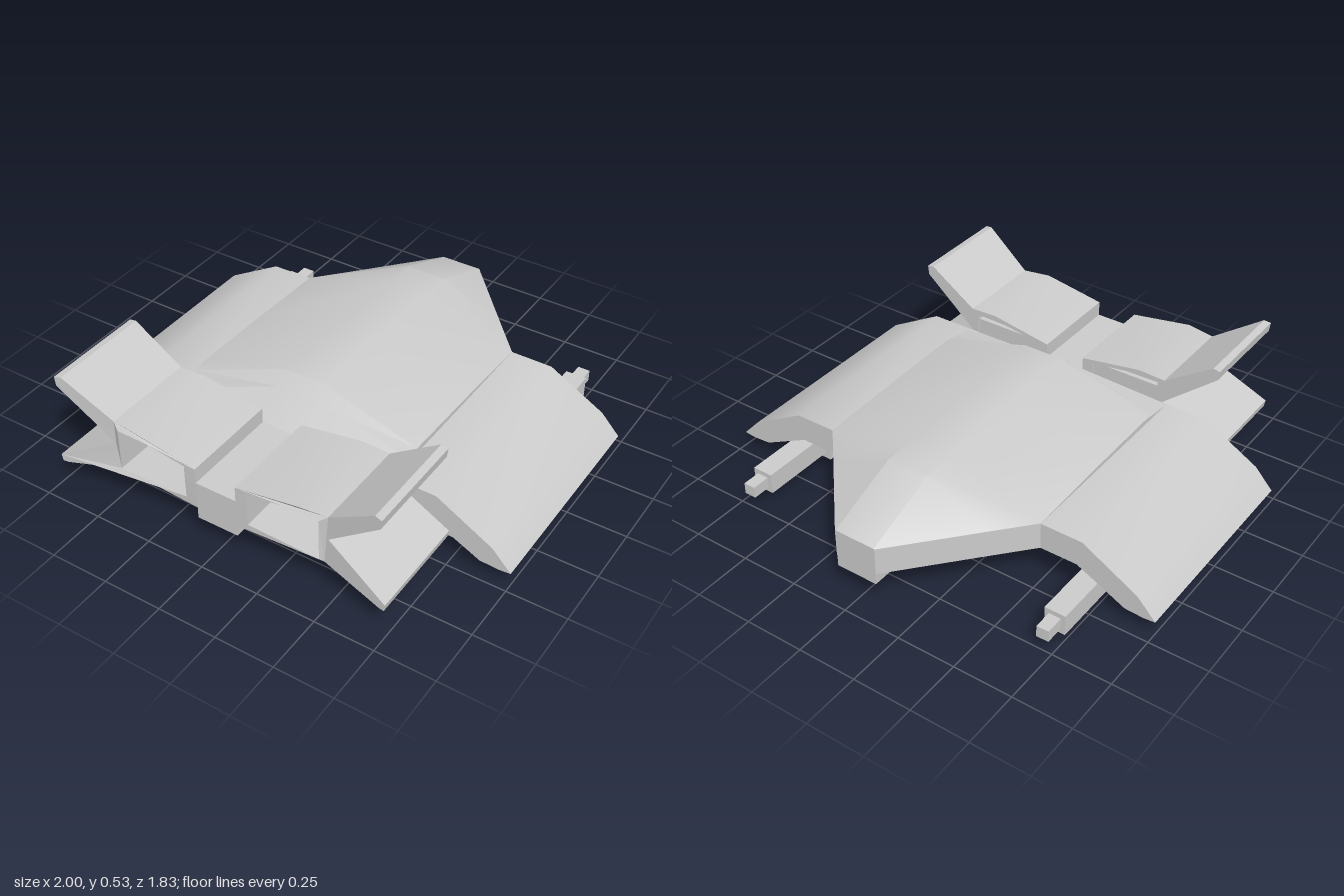
import * as THREE from 'three';
import { toCreasedNormals } from 'three/addons/utils/BufferGeometryUtils.js';

const material = new THREE.MeshStandardMaterial({ color: 0xcccccc, side: THREE.DoubleSide });

function mesh(name, geometry, parent, crease = 0.5) {
  const m = new THREE.Mesh(toCreasedNormals(geometry, crease), material);
  m.name = name;
  parent.add(m);
  return m;
}

function box(name, parent, x0, x1, y0, y1, z0, z1) {
  const g = new THREE.BoxGeometry(x1 - x0, y1 - y0, z1 - z0);
  g.translate((x0 + x1) / 2, (y0 + y1) / 2, (z0 + z1) / 2);
  return mesh(name, g, parent);
}

const outline = (points, side) => points.map(([x, y]) => new THREE.Vector2(x * side, y));

// Extrudes an x-y outline from z0 to z1, mirrored by side
function extrudeZ(points, side, z0, z1, hole) {
  const shape = new THREE.Shape(outline(points, side));
  if (hole) shape.holes.push(new THREE.Path(outline(hole, side)));
  const g = new THREE.ExtrudeGeometry(shape, { depth: z1 - z0, bevelEnabled: false });
  return g.translate(0, 0, z0);
}

// Extrudes an x-z plan from y0 to y1
function extrudeY(plan, side, y0, y1) {
  const shape = new THREE.Shape(outline(plan.map(([x, z]) => [x, -z]), side));
  const g = new THREE.ExtrudeGeometry(shape, { depth: y1 - y0, bevelEnabled: false });
  return g.rotateX(-Math.PI / 2).translate(0, y0, 0);
}

// Closed loops joined in order of rising z, with flat ends
function loft(loops) {
  const n = loops[0].length, index = [];
  for (let i = 0; i < loops.length - 1; i++) {
    for (let j = 0; j < n; j++) {
      const a = i * n + j, b = i * n + (j + 1) % n;
      index.push(a, b, b + n, a, b + n, a + n);
    }
  }
  const last = (loops.length - 1) * n;
  for (let j = 1; j < n - 1; j++) {
    index.push(0, j + 1, j, last, last + j, last + j + 1);
  }
  const g = new THREE.BufferGeometry();
  g.setAttribute('position', new THREE.Float32BufferAttribute(loops.flat(2), 3));
  g.setIndex(index);
  g.computeVertexNormals();
  return g;
}

export function createModel() {
  const model = new THREE.Group();
  model.name = 'spacecraft';

  // Hull stations: z, half width, crest height, shoulder height
  const stations = [
    [-0.92, 0.092, 0.29, 0.288], [-0.6, 0.372, 0.415, 0.288], [-0.455, 0.5, 0.422, 0.288],
    [-0.05, 0.5, 0.437, 0.303], [0.305, 0.5, 0.44, 0.31], [0.36, 0.5, 0.39, 0.3], [0.47, 0.5, 0.29, 0.285],
  ];
  mesh('hull', loft(stations.map(([z, w, crest, shoulder]) => [
    [-w, 0.17, z], [w, 0.17, z], [w, shoulder, z],
    [0.09, crest, z], [-0.09, crest, z], [-w, shoulder, z],
  ])), model);

  box('keel', model, -0.09, 0.09, 0.12, 0.29, -0.92, 0.89);

  const wingProfile = [
    [0.45, 0.17], [0.66, 0.17], [0.87, 0.065], [0.95, 0.06], [1, 0.065],
    [0.92, 0.15], [0.68, 0.285], [0.45, 0.287],
  ];
  const podProfile = [
    [0.09, 0.17], [0.46, 0.17], [0.71, 0.115], [0.735, 0.115], [0.74, 0.145], [0.48, 0.29],
    [0.715, 0.49], [0.72, 0.53], [0.69, 0.535], [0.48, 0.395], [0.36, 0.4], [0.09, 0.355],
  ];
  const podOpening = [[0.14, 0.2], [0.45, 0.192], [0.45, 0.375], [0.3, 0.372], [0.14, 0.347]];
  const bayPlan = [[0.16, 0.11], [0.42, 0.13], [0.42, -0.32], [0.16, -0.52]];
  const bayNotchedPlan = [
    [0.16, 0.11], [0.42, 0.13], [0.42, -0.32], [0.39, -0.343],
    [0.39, -0.2], [0.2, -0.3], [0.2, -0.489], [0.16, -0.52],
  ];

  for (const side of [1, -1]) {
    const half = new THREE.Group();
    half.name = side > 0 ? 'leftSide' : 'rightSide';
    model.add(half);

    mesh('wing', extrudeZ(wingProfile, side, -0.455, 0.47), half, 0.7);

    // Engine pod with its two splayed fins; the front edge sweeps to the fin tips
    const pod = extrudeZ(podProfile, side, 0.47, 0.89, podOpening);
    const p = pod.attributes.position;
    for (let i = 0; i < p.count; i++) {
      const x = Math.abs(p.getX(i));
      if (p.getZ(i) > 0.8 && x > 0.455) p.setZ(i, 0.87 + 0.16 * (x - 0.46));
    }
    mesh('enginePod', pod, half, 0.3);
    box('engineBackWall', half, side * 0.295 - 0.165, side * 0.295 + 0.165, 0.185, 0.35, 0.48, 0.6);

    // Belly bay with a recessed opening in its slanted end
    mesh('bellyBayFloor', extrudeY(bayPlan, side, 0.062, 0.085), half);
    mesh('bellyBayWalls', extrudeY(bayNotchedPlan, side, 0.085, 0.145), half);
    mesh('bellyBayRoof', extrudeY(bayPlan, side, 0.145, 0.17), half);

    // Underwing gun
    const x = side * 0.705;
    box('gunHousing', half, x - 0.068, x + 0.068, 0.003, 0.17, -0.335, 0.36);
    box('gunBarrel', half, x - 0.045, x + 0.045, 0.03, 0.12, -0.665, -0.3);
    box('gunMuzzle', half, x - 0.026, x + 0.026, 0.05, 0.1, -0.745, -0.65);
  }

  // Rest on the ground plane
  model.position.y = -0.003;
  return model;
}
